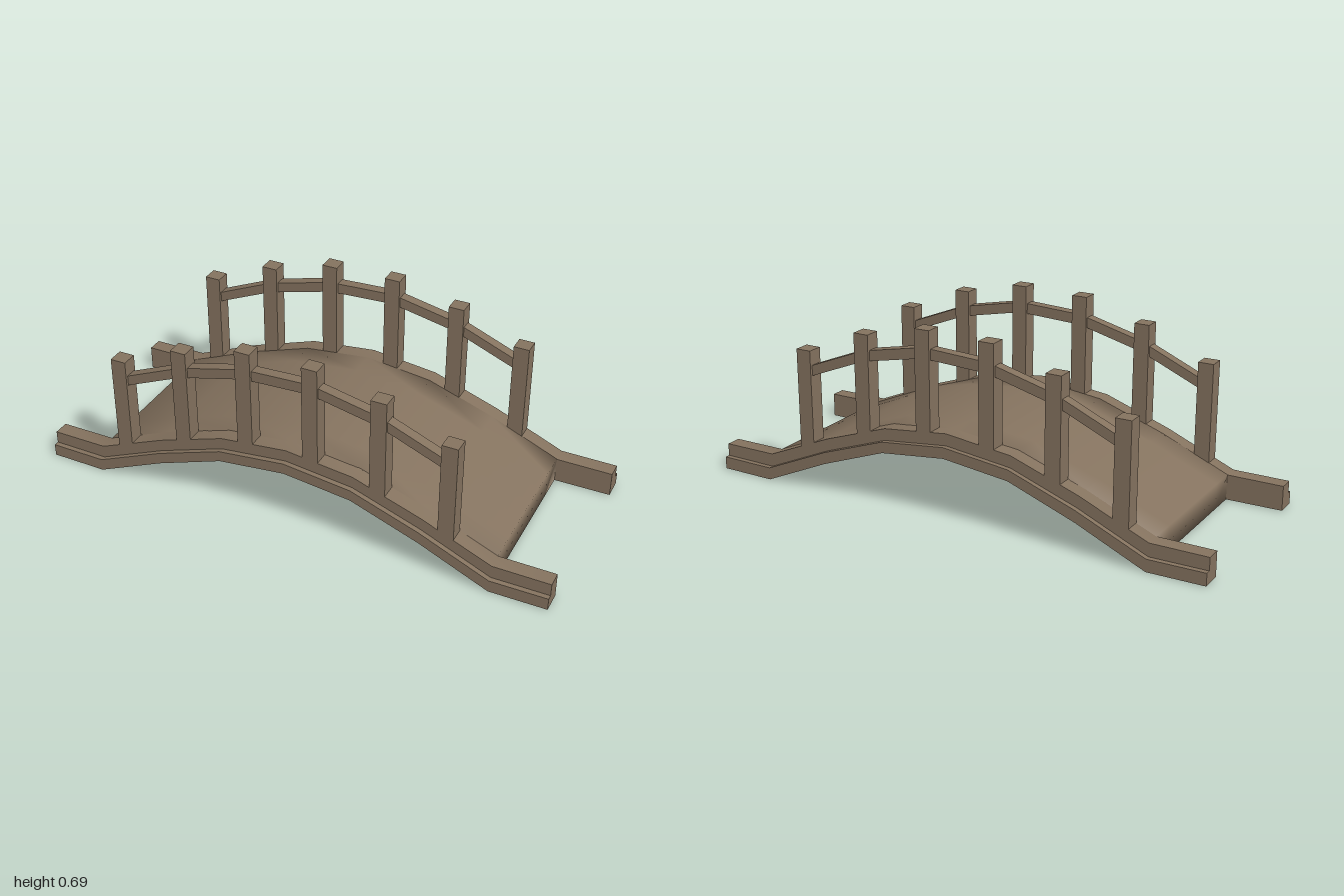
import * as THREE from 'three';
import { mergeVertices, toCreasedNormals } from 'three/addons/utils/BufferGeometryUtils.js';

// Half profile of the arch: x, underside, middle, top
const ARCH = [
  [0, 0.245, 0.287, 0.332],
  [0.26, 0.215, 0.257, 0.302],
  [0.52, 0.12, 0.165, 0.212],
  [0.785, 0.003, 0.05, 0.1],
  [1, 0.005, 0.052, 0.1],
];
const BOTTOM = 1, MIDDLE = 2, TOP = 3;

// Closed side outline between two levels of the arch
function archShape(low, high, count = ARCH.length) {
  const half = ARCH.slice(0, count);
  const full = [...half.slice(1).reverse().map((p) => [-p[0], ...p.slice(1)]), ...half];
  return new THREE.Shape([
    ...full.map((p) => new THREE.Vector2(p[0], p[low])),
    ...full.reverse().map((p) => new THREE.Vector2(p[0], p[high])),
  ]);
}

// Extrude a side outline from z0 to z1
function slab(shape, z0, z1, steps = 1) {
  const g = new THREE.ExtrudeGeometry(shape, { depth: z1 - z0, steps, bevelEnabled: false });
  return g.translate(0, 0, z0);
}

export function createModel() {
  const model = new THREE.Group();
  model.name = 'footbridge';
  const wood = new THREE.MeshStandardMaterial({ color: 0x85735f });
  wood.name = 'weathered wood';

  function add(name, geometry, parent = model) {
    const mesh = new THREE.Mesh(geometry, wood);
    mesh.name = name;
    parent.add(mesh);
    return mesh;
  }

  // Softly shaded arched deck between the beams
  let deck = slab(archShape(BOTTOM, TOP, 4), -0.312, 0.312, 6);
  deck.deleteAttribute('normal');
  deck.deleteAttribute('uv');
  deck = mergeVertices(deck, 1e-4);
  deck.computeVertexNormals();
  add('deck', deck);

  // Posts: x, top
  const posts = [
    [-0.68, 0.512], [-0.422, 0.62], [-0.163, 0.69],
    [0.095, 0.696], [0.353, 0.641], [0.612, 0.541],
  ];
  // Handrail centre line: x, y
  const rail = [
    [-0.68, 0.418], [-0.422, 0.53], [-0.163, 0.597],
    [0.095, 0.609], [0.353, 0.556], [0.612, 0.452],
  ];
  const railShape = new THREE.Shape([
    ...rail.map(([x, y]) => new THREE.Vector2(x, y - 0.02)),
    ...rail.slice().reverse().map(([x, y]) => new THREE.Vector2(x, y + 0.02)),
  ]);

  // Height of the beam's middle line, where the posts are seated
  function seat(x) {
    const a = Math.abs(x);
    const i = ARCH.findIndex((p) => p[0] > a);
    const p = ARCH[i - 1], q = ARCH[i];
    return THREE.MathUtils.mapLinear(a, p[0], q[0], p[MIDDLE], q[MIDDLE]);
  }

  for (const side of [1, -1]) {
    const group = new THREE.Group();
    group.name = side > 0 ? 'frontSide' : 'backSide';
    model.add(group);
    const place = (z0, z1) => (side > 0 ? [z0, z1] : [-z1, -z0]);

    // Stepped beam: the lower half juts outwards as a ledge
    add('beamLedge', toCreasedNormals(slab(archShape(BOTTOM, MIDDLE), ...place(0.31, 0.39)), 0.7), group);
    add('beamCap', toCreasedNormals(slab(archShape(MIDDLE, TOP), ...place(0.31, 0.37)), 0.7), group);

    // Square posts
    for (const [x, top] of posts) {
      const base = seat(x);
      const post = add('post', new THREE.BoxGeometry(0.06, top - base, 0.06), group);
      post.position.set(x, (top + base) / 2, side * 0.34);
    }

    // Arched handrail through the posts
    add('handrail', toCreasedNormals(slab(railShape, ...place(0.32, 0.36)), 0.7), group);
  }
  return model;
}
